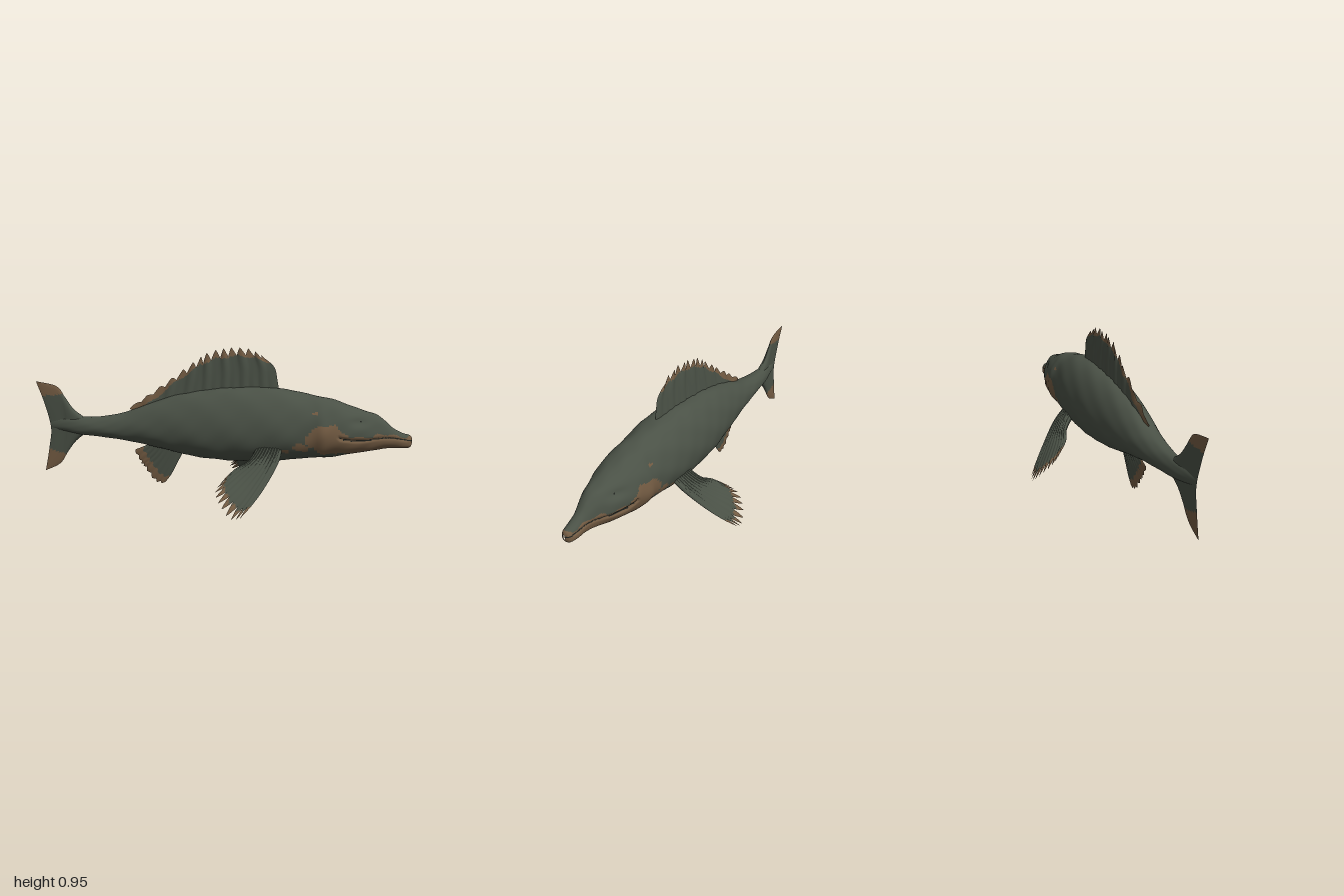
import * as THREE from 'three';
import { mergeVertices } from 'three/addons/utils/BufferGeometryUtils.js';

const skin = new THREE.MeshStandardMaterial({ color: 0x4a5146 });
skin.name = 'dark green skin';
const tan = new THREE.MeshStandardMaterial({ color: 0x745c43 });
tan.name = 'brown markings';
const dark = new THREE.MeshStandardMaterial({ color: 0x20231f });
dark.name = 'dark eye and mouth';
const palette = [skin, tan, dark];

const V = (x, y, z) => new THREE.Vector3(x, y, z);
const curve = (pts) => new THREE.CatmullRomCurve3(pts.map((p) => V(...p)), false, 'catmullrom', 0.5);

// Grid surface; paint(u, v, point) picks a palette index for each quad
function surface(name, nu, nv, point, paint, flip = false) {
  const pos = [];
  const buckets = palette.map(() => []);
  for (let i = 0; i <= nu; i++) {
    for (let j = 0; j <= nv; j++) pos.push(...point(i / nu, j / nv).toArray());
  }
  for (let i = 0; i < nu; i++) {
    for (let j = 0; j < nv; j++) {
      const a = i * (nv + 1) + j, b = a + nv + 1;
      const u = (i + 0.5) / nu, v = (j + 0.5) / nv;
      const quad = [a, b, a + 1, b, b + 1, a + 1];
      if (flip) quad.reverse();
      buckets[paint(u, v, point(u, v))].push(...quad);
    }
  }
  let geo = new THREE.BufferGeometry();
  geo.setAttribute('position', new THREE.Float32BufferAttribute(pos, 3));
  geo.setIndex(buckets.flat());
  let start = 0;
  buckets.forEach((b, k) => {
    if (b.length) geo.addGroup(start, b.length, k);
    start += b.length;
  });
  geo = mergeVertices(geo, 1e-5);
  geo.computeVertexNormals();
  const mesh = new THREE.Mesh(geo, palette);
  mesh.name = name;
  return mesh;
}

// Body stations: distance along body, belly height, back height, half width
const stations = [
  [1.18, 0.39, 0.42, 0.004], [1.165, 0.365, 0.44, 0.03], [1.12, 0.36, 0.452, 0.043],
  [1.06, 0.36, 0.485, 0.047], [1.01, 0.355, 0.53, 0.06], [0.96, 0.345, 0.565, 0.08],
  [0.9, 0.335, 0.582, 0.108], [0.8, 0.318, 0.615, 0.138], [0.7, 0.30, 0.65, 0.152],
  [0.55, 0.288, 0.68, 0.158], [0.37, 0.27, 0.712, 0.175], [0.15, 0.26, 0.718, 0.175],
  [-0.05, 0.268, 0.70, 0.162], [-0.25, 0.30, 0.665, 0.136], [-0.45, 0.345, 0.60, 0.106],
  [-0.6, 0.37, 0.545, 0.082], [-0.75, 0.388, 0.517, 0.062], [-0.9, 0.40, 0.51, 0.042],
  [-1.0, 0.42, 0.50, 0.02], [-1.08, 0.44, 0.48, 0.003],
];
const heights = curve(stations.map(([s, b, t]) => [s, b, t]));
const widths = curve(stations.map(([s, , , w]) => [s, w, 0]));
const mouthY = (s) => 0.41 + Math.max(0, 1.12 - s) * 0.07 - 0.012 * Math.sin((s - 0.72) * 14);
const bell = (x, c, w) => Math.exp(-(((x - c) / w) ** 2));

function bodyPoint(u, v) {
  const h = heights.getPoint(u), w = widths.getPoint(u).y;
  const s = h.x, a = v * Math.PI * 2;
  const mid = (h.y + h.z) / 2, half = (h.z - h.y) / 2;
  const side = Math.sin(a), c = Math.cos(a);
  let y = mid - c * half;
  let x = w * Math.sign(side) * Math.abs(side) ** 0.85 * (1 + 0.14 * c);
  if (Math.abs(side) < 1e-6) x = 0;
  // Lumpy skin, gill cover edge, eye sockets and mouth groove
  const lump = 1 + 0.012 * Math.sin(s * 31 + 2 * c) * Math.sin(a * 7 + s * 9);
  const gill = 1 + 0.06 * bell(s, 0.64 - 0.25 * (y - 0.45) ** 2, 0.035);
  const socket = 1 - 0.1 * bell(s, 0.86, 0.05) * bell(y, 0.525, 0.025);
  const groove = s > 0.74 && s < 1.15 ? 1 - 0.1 * bell(y, mouthY(s), 0.008) : 1;
  x *= lump * gill * socket * groove;
  y += (lump - 1) * half * -c;
  return V(x, y, s);
}

const blob = (s, y, cs, cy, rs, ry) => ((s - cs) / rs) ** 2 + ((y - cy) / ry) ** 2 < 1;

function bodyPaint(u, v, p) {
  const s = p.z, y = p.y, n = 0.006 * Math.sin(s * 60) + 0.005 * Math.sin(s * 37 + y * 90);
  if (s > 0.74 && Math.abs(y - mouthY(s)) < 0.0035) return 2;
  if (s > 0.72 && y < mouthY(s) + 0.02 + n && (s > 0.84 || y > 0.33 + n)) return 1;
  if (blob(s + n, y + n, 0.675, 0.42, 0.125, 0.09)) return 1;
  if (blob(s, y + n, 0.51, 0.37, 0.05, 0.022) || blob(s, y, 0.43, 0.35, 0.025, 0.013)) return 1;
  if (blob(s, y, 0.6, 0.575, 0.018, 0.01)) return 1;
  return 0;
}

// Two-sided tapering fin spanned by a leading edge, a trailing edge and an outer edge
function fin(name, { lead, trail, tip, teeth = 0, depth = 0, thick, ripple = 0, paint }, mirror = 1) {
  const [L, T, E] = [lead, trail, tip].map((pts) => curve(pts.map(([x, y, z]) => [x * mirror, y, z])));
  const endL = L.getPoint(1), endT = T.getPoint(1);
  const sheet = (u, v) => {
    const p = L.getPoint(v).lerp(T.getPoint(v), u);
    const bow = E.getPoint(u).sub(endL.clone().lerp(endT, u));
    return p.addScaledVector(bow, v * v);
  };
  const group = new THREE.Group();
  group.name = name;
  const e = 0.01;
  for (const side of [1, -1]) {
    const point = (u, v) => {
      const notch = teeth ? Math.abs(2 * ((u * teeth) % 1) - 1) ** 1.3 : 0;
      const vv = v * (1 - depth * notch * v ** 4);
      const p = sheet(u, vv);
      const cu = Math.min(Math.max(u, e), 1 - e), cv = Math.min(Math.max(vv, e), 1 - e);
      const du = sheet(cu + e, cv).sub(sheet(cu - e, cv));
      const dv = sheet(cu, cv + e).sub(sheet(cu, cv - e));
      const n = du.cross(dv).normalize();
      const rim = Math.sqrt(Math.max(0, 1 - (2 * u - 1) ** 4));
      const t = thick * rim * (1 - v) ** 0.8 * (1 - 0.3 * notch) + 0.002 * rim * (1 - v ** 8);
      return p.addScaledVector(n, side * t + ripple * v * Math.sin(u * teeth * Math.PI));
    };
    const nu = teeth ? teeth * 8 : 40;
    group.add(surface(name + (side > 0 ? 'FaceA' : 'FaceB'), nu, 32, point,
      (u, v, p) => paint(u, v, p, E.getPoint(u)), side < 0));
  }
  return group;
}

const flat = (pts) => pts.map(([s, y]) => [0, y, s]);
const margin = (d) => (u, v, p, edge) => (p.distanceTo(edge) < d + 0.008 * Math.sin(u * 40) ? 1 : 0);

const dorsal = {
  lead: flat([[0.38, 0.66], [0.365, 0.76], [0.345, 0.84], [0.28, 0.9]]),
  trail: flat([[-0.5, 0.54], [-0.53, 0.55], [-0.55, 0.56], [-0.57, 0.575]]),
  tip: flat([[0.28, 0.9], [0.23, 0.935], [0.16, 0.957], [0.08, 0.957], [0.01, 0.948], [-0.07, 0.925],
    [-0.13, 0.885], [-0.22, 0.82], [-0.33, 0.74], [-0.45, 0.655], [-0.57, 0.575]]),
  teeth: 15, depth: 0.12, thick: 0.022, ripple: 0.005, paint: margin(0.055),
};
const tail = {
  lead: flat([[-0.85, 0.5], [-0.93, 0.56], [-0.985, 0.635], [-1.04, 0.705], [-1.175, 0.735]]),
  trail: flat([[-0.85, 0.41], [-0.92, 0.355], [-0.975, 0.285], [-1.03, 0.205], [-1.13, 0.155]]),
  tip: flat([[-1.175, 0.735], [-1.125, 0.6], [-1.085, 0.44], [-1.1, 0.31], [-1.13, 0.155]]),
  thick: 0.026,
  paint: (u, v, p) => (p.y > 0.645 + 0.1 * (p.z + 1.1) || p.y < 0.295 - 0.25 * (p.z + 1.08) ? 1 : 0),
};
const anal = {
  lead: flat([[-0.19, 0.37], [-0.25, 0.25], [-0.3, 0.155], [-0.35, 0.09]]),
  trail: flat([[-0.42, 0.39], [-0.45, 0.345], [-0.49, 0.325], [-0.54, 0.305]]),
  tip: flat([[-0.35, 0.09], [-0.41, 0.11], [-0.47, 0.19], [-0.5, 0.23], [-0.54, 0.305]]),
  teeth: 8, depth: 0.06, thick: 0.018, paint: margin(0.06),
};
const pectoral = {
  lead: [[0.11, 0.38, 0.41], [0.22, 0.285, 0.385], [0.34, 0.15, 0.305], [0.455, 0.02, 0.2]],
  trail: [[0.11, 0.4, 0.27], [0.2, 0.3, 0.21], [0.235, 0.25, 0.13], [0.31, 0.19, 0.06]],
  tip: [[0.455, 0.02, 0.2], [0.468, 0.005, 0.135], [0.43, 0.075, 0.065], [0.37, 0.14, 0.03], [0.31, 0.19, 0.06]],
  teeth: 10, depth: 0.13, thick: 0.026, paint: margin(0.075),
};

export function createModel() {
  const model = new THREE.Group();
  model.name = 'spinyFinnedFish';
  model.add(surface('body', 170, 110, bodyPoint, bodyPaint));
  model.add(fin('dorsalFin', dorsal), fin('tailFin', tail), fin('analFin', anal));
  model.add(fin('leftPectoralFin', pectoral), fin('rightPectoralFin', pectoral, -1));

  // Small sunken eyes under the brow
  for (const side of [1, -1]) {
    const eye = new THREE.Mesh(new THREE.SphereGeometry(0.012, 16, 12), dark);
    eye.name = side > 0 ? 'leftEye' : 'rightEye';
    eye.position.set(side * 0.078, 0.525, 0.865);
    model.add(eye);
  }

  // The fish lies along the diagonal
  model.rotation.y = Math.atan2(0.63, 1);
  return model;
}
